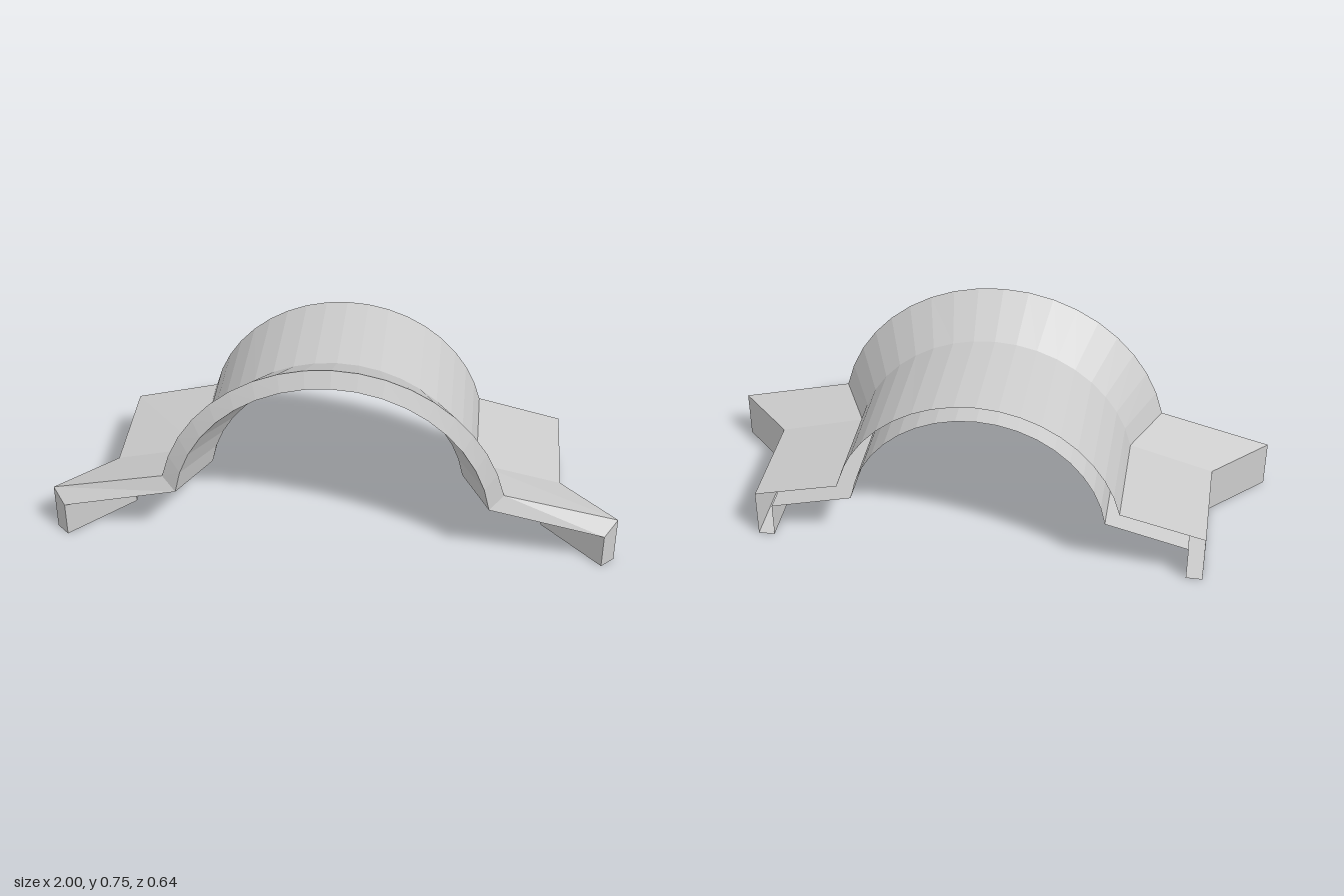
import * as THREE from 'three';

const ARCH_SEGMENTS = 18;
const ARCH_CENTRE_Y = 0.133;

const material = new THREE.MeshStandardMaterial({
  color: 0xcccccc, flatShading: true, side: THREE.DoubleSide,
});

// One cross-section from the +x foot, over the arch, to the -x foot.
function section({ radius, shoulderY, lipX, lipY, archZ, lipZ }) {
  const start = Math.asin((shoulderY - ARCH_CENTRE_Y) / radius);
  const points = [[lipX, 0, lipZ], [lipX, lipY, lipZ]];
  for (let i = 0; i <= ARCH_SEGMENTS; i++) {
    const a = start + (Math.PI - 2 * start) * i / ARCH_SEGMENTS;
    points.push([radius * Math.cos(a), ARCH_CENTRE_Y + radius * Math.sin(a), archZ]);
  }
  points.push([-lipX, lipY, lipZ], [-lipX, 0, lipZ]);
  return points;
}

// Skin stretched over successive rows of points.
function loft(name, rows) {
  const n = rows[0].length;
  const index = [];
  for (let r = 0; r < rows.length - 1; r++) {
    for (let i = 0; i < n - 1; i++) {
      const a = r * n + i, b = a + n;
      index.push(a, a + 1, b, a + 1, b + 1, b);
    }
  }
  const geometry = new THREE.BufferGeometry();
  geometry.setAttribute('position', new THREE.Float32BufferAttribute(rows.flat(2), 3));
  geometry.setIndex(index);
  geometry.computeVertexNormals();
  const mesh = new THREE.Mesh(geometry, material);
  mesh.name = name;
  return mesh;
}

export function createModel() {
  const group = new THREE.Group();
  group.name = 'flaredArchCover';

  // Outer skin sections, back to front
  const outer = [
    { radius: 0.514, shoulderY: 0.252, lipX: 0.803, lipY: 0.178, archZ: -0.318, lipZ: -0.318 },
    { radius: 0.514, shoulderY: 0.25, lipX: 0.803, lipY: 0.175, archZ: 0.092, lipZ: 0.08 },
    { radius: 0.614, shoulderY: 0.266, lipX: 1, lipY: 0.176, archZ: 0.29, lipZ: 0.275 },
  ].map(section);

  // Inner skin sections, back to front
  const inner = [
    { radius: 0.457, shoulderY: 0.205, lipX: 0.745, lipY: 0.13, archZ: -0.318, lipZ: -0.318 },
    { radius: 0.457, shoulderY: 0.205, lipX: 0.745, lipY: 0.13, archZ: 0.105, lipZ: 0.105 },
    { radius: 0.557, shoulderY: 0.22, lipX: 0.955, lipY: 0.13, archZ: 0.318, lipZ: 0.318 },
  ].map(section);

  group.add(loft('outerSkin', outer));
  group.add(loft('frontRim', [outer[2], inner[2]]));
  group.add(loft('innerSkin', [...inner].reverse()));

  // Strips closing the underside of both feet; the back end stays open
  const last = outer[0].length - 1;
  const edge = (rows, i) => rows.map((row) => row[i]);
  group.add(loft('leftFootBottom', [edge(outer, 0), edge(inner, 0)]));
  group.add(loft('rightFootBottom', [edge(inner, last), edge(outer, last)]));

  return group;
}
